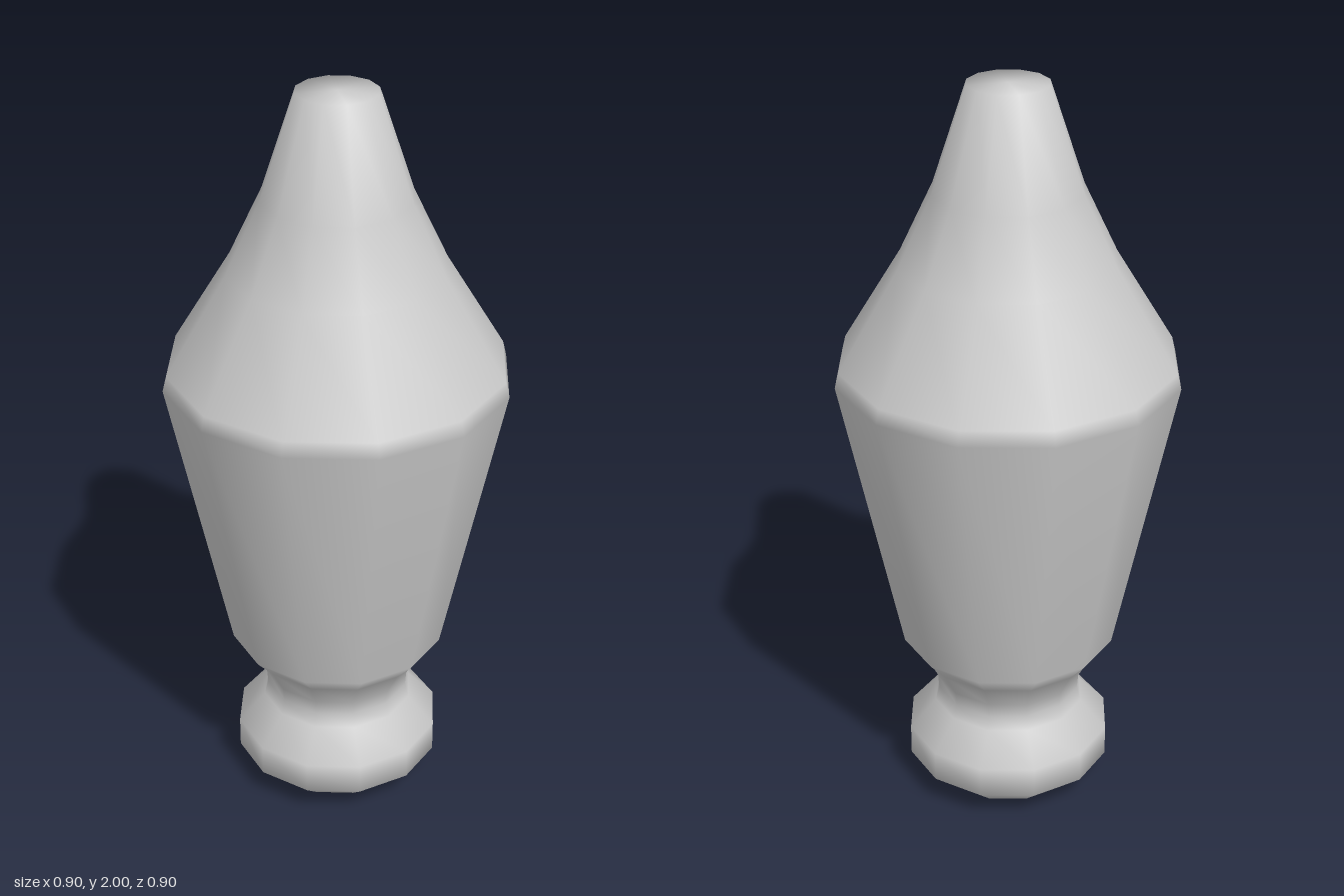
import * as THREE from 'three';

// Twelve-sided turned finial with smooth shading
export function createModel() {
  const group = new THREE.Group();
  group.name = 'finial';

  // Radius and height pairs, from the base centre to the tip centre
  const profile = [
    [0, 0], [0.15, 0], [0.2, 0.015],            // underside
    [0.28, 0.085], [0.28, 0.17],                // foot
    [0.207, 0.25], [0.197, 0.29], [0.2, 0.33],  // neck
    [0.237, 0.4], [0.29, 0.46],                 // flare
    [0.452, 1.24], [0.442, 1.28],               // shoulder
    [0.285, 1.54], [0.195, 1.73],               // taper
    [0.105, 2], [0, 2],                         // tip
  ].map(([r, y]) => new THREE.Vector2(r, y));

  const body = new THREE.Mesh(
    new THREE.LatheGeometry(profile, 12),
    new THREE.MeshStandardMaterial({ color: 0xcccccc })
  );
  body.name = 'turnedBody';
  group.add(body);
  return group;
}
